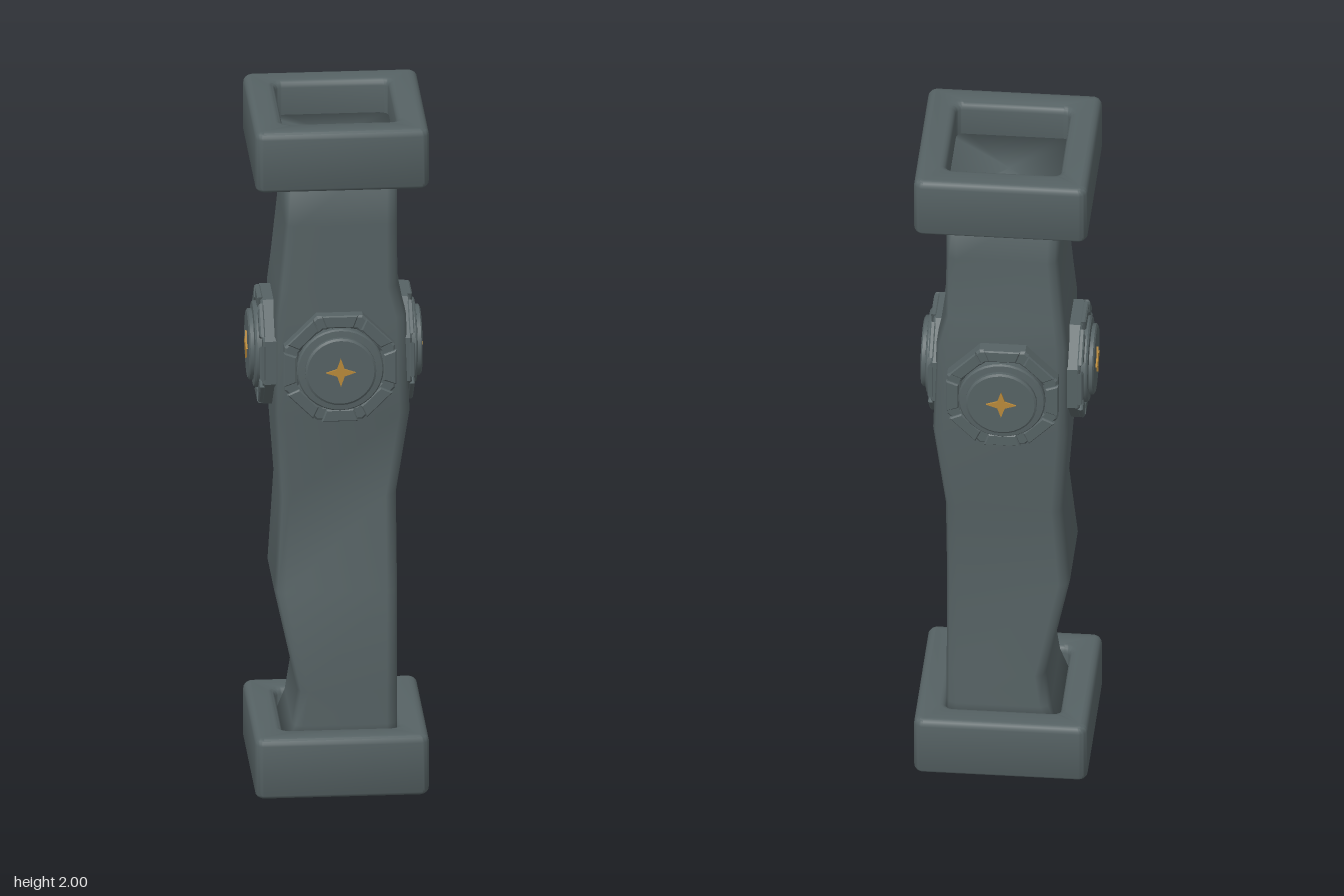
import * as THREE from 'three';
import { toCreasedNormals } from 'three/addons/utils/BufferGeometryUtils.js';

const stone = new THREE.MeshStandardMaterial({ color: 0x566264 });
stone.name = 'slate stone';
const gold = new THREE.MeshStandardMaterial({ color: 0xb8893a });
gold.name = 'dull gold';

function add(parent, name, geometry, material) {
  const mesh = new THREE.Mesh(geometry, material);
  mesh.name = name;
  parent.add(mesh);
  return mesh;
}

// Rounded rectangle outline, used for the collars and their openings
function roundedRect(path, x0, x1, y0, y1, r) {
  path.moveTo(x0 + r, y0);
  path.absarc(x1 - r, y0 + r, r, -Math.PI / 2, 0);
  path.absarc(x1 - r, y1 - r, r, 0, Math.PI / 2);
  path.absarc(x0 + r, y1 - r, r, Math.PI / 2, Math.PI);
  path.absarc(x0 + r, y0 + r, r, Math.PI, Math.PI * 1.5);
  return path;
}

// Square collar with soft edges and an open middle
function collarGeometry() {
  const b = 0.02, h = 0.18;
  const shape = roundedRect(new THREE.Shape(), -0.24 + b, 0.248 - b, -0.253 + b, 0.236 - b, 0.008);
  shape.holes.push(roundedRect(new THREE.Path(), -0.157 - b, 0.163 + b, -0.168 - b, 0.153 + b, 0.04));
  const g = new THREE.ExtrudeGeometry(shape, {
    depth: h - 2 * b, bevelSize: b, bevelThickness: b, bevelSegments: 4, curveSegments: 5
  });
  g.translate(0, 0, b).rotateX(-Math.PI / 2);
  return toCreasedNormals(g, 0.7);
}

// Worn square shaft: each row gives y, left edge, right edge, back edge, front edge
function shaftGeometry() {
  const rows = [
    [0.12, -0.158, 0.165, -0.154, 0.175],
    [0.19, -0.130, 0.165, -0.152, 0.175],
    [0.29, -0.115, 0.165, -0.148, 0.175],
    [0.59, -0.180, 0.165, -0.132, 0.175],
    [0.85, -0.162, 0.167, -0.150, 0.105],
    [1.12, -0.180, 0.200, -0.180, 0.175],
    [1.41, -0.178, 0.190, -0.180, 0.175],
    [1.50, -0.168, 0.166, -0.170, 0.175],
    [1.69, -0.150, 0.165, -0.152, 0.175],
    [1.90, -0.158, 0.165, -0.154, 0.175]
  ];
  const r = 0.03, per = 3, n = per * 4;
  const pos = [], idx = [];
  for (const [y, x0, x1, z0, z1] of rows) {
    for (let c = 0; c < 4; c++) {
      const cx = c === 0 || c === 3 ? x1 - r : x0 + r;
      const cz = c < 2 ? z1 - r : z0 + r;
      for (let k = 0; k < per; k++) {
        const a = (c + k / (per - 1)) * Math.PI / 2;
        pos.push(cx + r * Math.cos(a), y, cz + r * Math.sin(a));
      }
    }
  }
  for (let j = 0; j < rows.length - 1; j++) {
    for (let i = 0; i < n; i++) {
      const a = j * n + i, b = j * n + (i + 1) % n;
      idx.push(a, a + n, b, b, a + n, b + n);
    }
  }
  // End caps share the rim so they shade softly
  const last = (rows.length - 1) * n, low = rows.length * n;
  pos.push(0, rows[0][0], 0.01, 0, rows[rows.length - 1][0], 0.01);
  for (let i = 0; i < n; i++) {
    const k = (i + 1) % n;
    idx.push(low, i, k, low + 1, last + k, last + i);
  }
  const g = new THREE.BufferGeometry();
  g.setAttribute('position', new THREE.Float32BufferAttribute(pos, 3));
  g.setIndex(idx);
  g.computeVertexNormals();
  return g;
}

// Flat-topped octagon ring extruded along +z, ending at z = top
function octagonRing(outer, inner, bottom, top, bevel) {
  const points = (radius) => Array.from({ length: 8 }, (_, i) => {
    const a = (i + 0.5) * Math.PI / 4;
    return new THREE.Vector2(radius * Math.cos(a), radius * Math.sin(a));
  });
  const shape = new THREE.Shape(points(outer - bevel));
  shape.holes.push(new THREE.Path(points(inner + bevel)));
  const g = new THREE.ExtrudeGeometry(shape, {
    depth: top - bottom - 2 * bevel, bevelSize: bevel, bevelThickness: bevel, bevelSegments: 1
  });
  return g.translate(0, 0, bottom + bevel);
}

// Medallion facing +z; z = 0 is the face of the raised disc
function medallion() {
  const m = new THREE.Group();
  add(m, 'medallionFrame', octagonRing(0.168, 0.124, -0.1, -0.034, 0.006), stone);

  // Raised blocks along each side, leaving grooves at the corners
  for (let i = 0; i < 8; i++) {
    const a = i * Math.PI / 4;
    const s = new THREE.Shape([
      new THREE.Vector2(0.126, -0.036), new THREE.Vector2(0.155, -0.047),
      new THREE.Vector2(0.155, 0.047), new THREE.Vector2(0.126, 0.036)
    ]);
    const g = new THREE.ExtrudeGeometry(s, {
      depth: 0.008, bevelSize: 0.004, bevelThickness: 0.004, bevelSegments: 1
    });
    add(m, 'frameBlock', g.translate(0, 0, -0.038).rotateZ(a), stone);
  }

  // Stepped round disc
  const profile = [[0, 0], [0.094, 0], [0.1, -0.004], [0.1, -0.014], [0.118, -0.016], [0.122, -0.021], [0.122, -0.1]]
    .map(([r, y]) => new THREE.Vector2(r, y)).reverse();
  const disc = toCreasedNormals(new THREE.LatheGeometry(profile, 32).rotateX(Math.PI / 2), 0.5);
  add(m, 'medallionDisc', disc, stone);

  // Four-pointed star inlay
  const star = new THREE.Shape(Array.from({ length: 8 }, (_, i) => {
    const a = i * Math.PI / 4, r = i % 2 ? 0.015 : 0.042;
    return new THREE.Vector2(r * Math.cos(a), r * Math.sin(a));
  }));
  const starGeo = new THREE.ExtrudeGeometry(star, { depth: 0.006, bevelEnabled: false });
  add(m, 'starInlay', starGeo.translate(0, 0, -0.001), gold);
  return m;
}

export function createModel() {
  const model = new THREE.Group();
  model.name = 'pillar';
  add(model, 'shaft', shaftGeometry(), stone);

  // Collars at both ends
  const collar = collarGeometry();
  add(model, 'bottomCollar', collar, stone);
  add(model, 'topCollar', collar, stone).position.y = 1.82;

  // One medallion on each side
  const sides = [['front', 0, 0.241], ['left', 1, 0.241], ['back', 2, 0.25], ['right', 3, 0.246]];
  for (const [name, turn, reach] of sides) {
    const m = medallion();
    const a = turn * Math.PI / 2;
    m.name = name + 'Medallion';
    m.rotation.y = a;
    m.position.set(Math.sin(a) * reach, 1.275, Math.cos(a) * reach);
    model.add(m);
  }
  return model;
}
